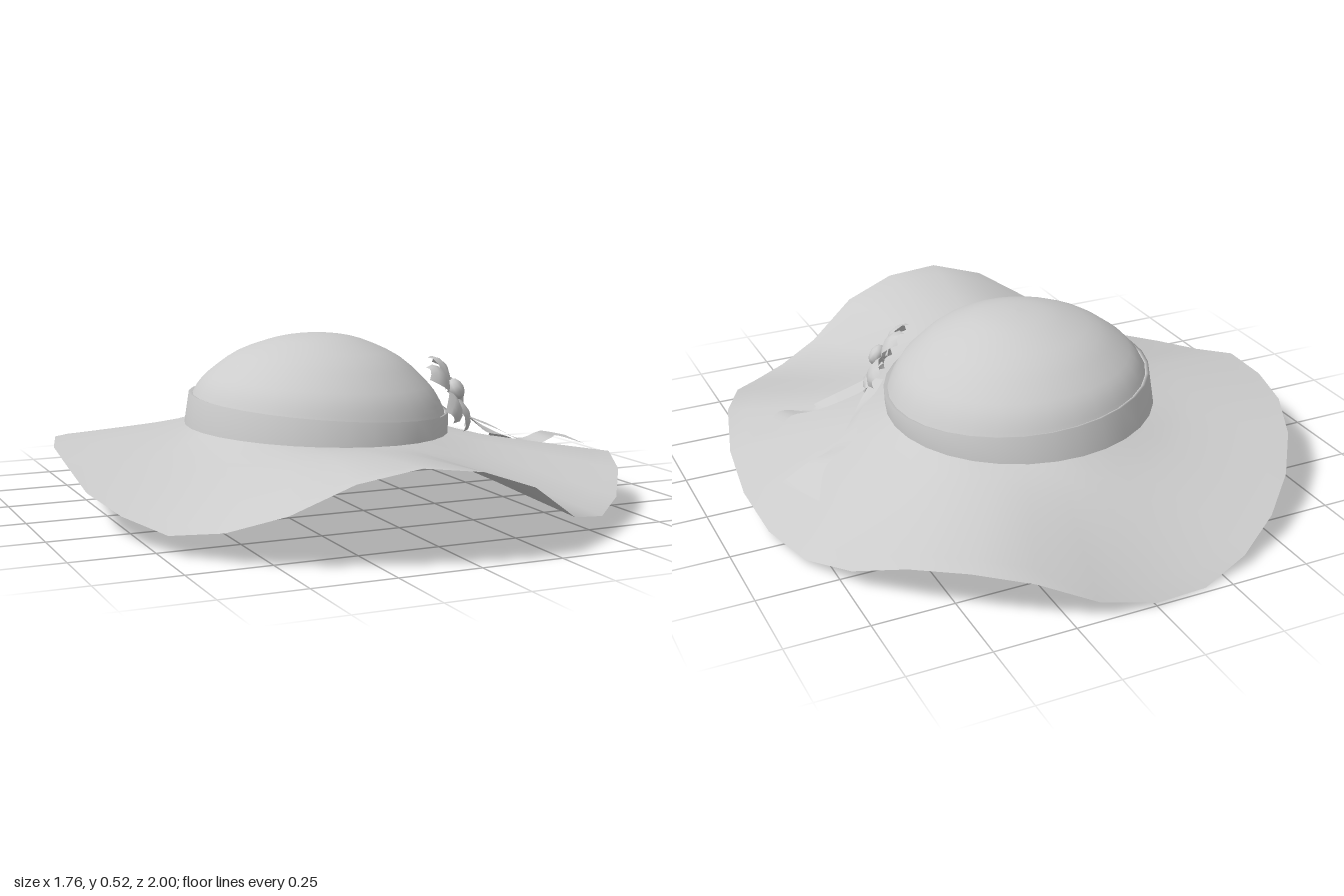
import * as THREE from 'three';

const SEG = 32;
const V = (x, y, z) => new THREE.Vector3(x, y, z);

// Skin a surface over rows of points; closed rows wrap around
function loft(rows, closed) {
  const n = rows[0].length, pos = [], idx = [];
  rows.forEach(r => r.forEach(p => pos.push(p.x, p.y, p.z)));
  for (let i = 0; i < rows.length - 1; i++) {
    for (let j = 0; j < (closed ? n : n - 1); j++) {
      const k = (j + 1) % n, a = i * n + j, b = a + n, c = (i + 1) * n + k, d = i * n + k;
      idx.push(a, b, c, a, c, d);
    }
  }
  const g = new THREE.BufferGeometry();
  g.setAttribute('position', new THREE.Float32BufferAttribute(pos, 3));
  g.setIndex(idx);
  g.computeVertexNormals();
  return g;
}

// Ring around the hat; angle 0 is the front, turning towards +x
const ring = f => Array.from({ length: SEG }, (_, j) => {
  const a = (j / SEG) * Math.PI * 2;
  return f(Math.sin(a), Math.cos(a), j);
});

export function createModel() {
  const hat = new THREE.Group();
  hat.name = 'sunHat';
  const straw = new THREE.MeshStandardMaterial({ color: 0xcccccc, side: THREE.DoubleSide });
  straw.name = 'paleGrey';
  const add = (parent, name, geo) => {
    const m = new THREE.Mesh(geo, straw);
    m.name = name;
    parent.add(m);
    return m;
  };

  // Rings where the band meets the brim and the crown
  const bandBase = (s, c) => V(-0.025 + 0.427 * s, 0.224 - 0.015 * s, -0.065 + 0.445 * c);
  const bandTop = (s, c) => V(-0.016 + 0.41 * s, 0.302 - 0.032 * s - 0.01 * c, -0.063 + 0.416 * c);

  // Wavy brim: heights of the outer edge, from the front round through +x
  const edge = [
    0.26, 0.20, 0.09, 0.06, 0.08, 0.13, 0.15, 0.10,
    0.055, 0.02, 0.015, 0.055, 0.12, 0.14, 0.12, 0.05,
    0.01, 0, 0.03, 0.075, 0.12, 0.165, 0.19, 0.19,
    0.18, 0.12, 0.085, 0.06, 0.09, 0.15, 0.24, 0.28];
  const brimRows = [];
  for (let i = 0; i <= 8; i++) {
    const t = i / 8;
    brimRows.push(ring((s, c, j) => {
      const p = bandBase(s, c);
      const y = p.y + (edge[j] - p.y) * Math.pow(t, 0.9);
      return V(p.x + (0.88 * s - p.x) * t, y, p.z + (c - p.z) * t);
    }));
  }
  add(hat, 'brim', loft(brimRows, true));

  // Hat band, standing slightly proud of the crown
  add(hat, 'band', loft([
    ring((s, c) => bandTop(s, c)),
    ring((s, c) => bandTop(s, c).add(V(0.012 * s, 0.004, 0.012 * c))),
    ring(bandBase)], true));

  // Domed crown: [radius, height] fractions from the top down
  const profile = new THREE.SplineCurve([
    [0.001, 1], [0.18, 0.98], [0.38, 0.9], [0.65, 0.69], [0.86, 0.38], [0.95, 0.18], [1, 0]
  ].map(p => new THREE.Vector2(...p)));
  const crownRows = profile.getPoints(16).map(q => ring((s, c) => {
    const p = bandTop(s, c);
    return V(-0.016 + (p.x + 0.016) * q.x, p.y + (0.525 - p.y) * q.y, -0.063 + (p.z + 0.063) * q.x);
  }));
  add(hat, 'crown', loft(crownRows, true));

  // Flower: five cupped petals round a faceted bud
  const flower = new THREE.Group();
  flower.name = 'flower';
  flower.position.set(0.355, 0.343, 0.16);
  flower.quaternion.setFromUnitVectors(V(0, 0, 1), V(0.72, 0.47, 0.5).normalize());
  hat.add(flower);
  // [distance from centre, half width, lift]
  const petal = loft([
    [0.015, 0.014, 0], [0.05, 0.034, 0.014], [0.09, 0.047, 0.018], [0.12, 0.042, 0.006], [0.138, 0.026, -0.012]
  ].map(([r, w, h]) => [-1, -0.5, 0, 0.5, 1].map(v =>
    V(r - 0.006 * v * v, w * v, h - 0.014 * v * v))), false);
  for (let k = 0; k < 5; k++) {
    add(flower, 'petal', petal).rotation.z = THREE.MathUtils.degToRad(80 + 72 * k);
  }
  const bud = add(flower, 'bud', new THREE.SphereGeometry(0.036, 10, 6));
  bud.scale.z = 0.7;
  bud.position.z = 0.016;

  // Two trailing ribbons, each skinned between a pair of edge curves
  const ribbon = (name, a, b) => {
    const [ca, cb] = [a, b].map(e => new THREE.CatmullRomCurve3(e.map(p => V(...p))).getPoints(24));
    add(hat, name, loft([cb, ca], false));
  };
  ribbon('backRibbon',
    [[0.37, 0.29, 0.11], [0.42, 0.28, 0.05], [0.49, 0.255, 0], [0.55, 0.215, -0.1], [0.65, 0.155, -0.12], [0.71, 0.10, -0.22]],
    [[0.39, 0.28, 0.15], [0.46, 0.25, 0.08], [0.53, 0.205, 0.01], [0.6, 0.16, -0.03], [0.68, 0.14, -0.045], [0.775, 0.098, -0.06]]);
  ribbon('frontRibbon',
    [[0.37, 0.29, 0.14], [0.43, 0.255, 0.13], [0.5, 0.225, 0.145], [0.58, 0.18, 0.2], [0.66, 0.19, 0.18], [0.73, 0.18, 0.12], [0.8, 0.165, 0.14]],
    [[0.36, 0.28, 0.19], [0.42, 0.25, 0.2], [0.5, 0.215, 0.22], [0.6, 0.165, 0.26], [0.68, 0.18, 0.245], [0.74, 0.175, 0.19], [0.8, 0.155, 0.26]]);

  return hat;
}
